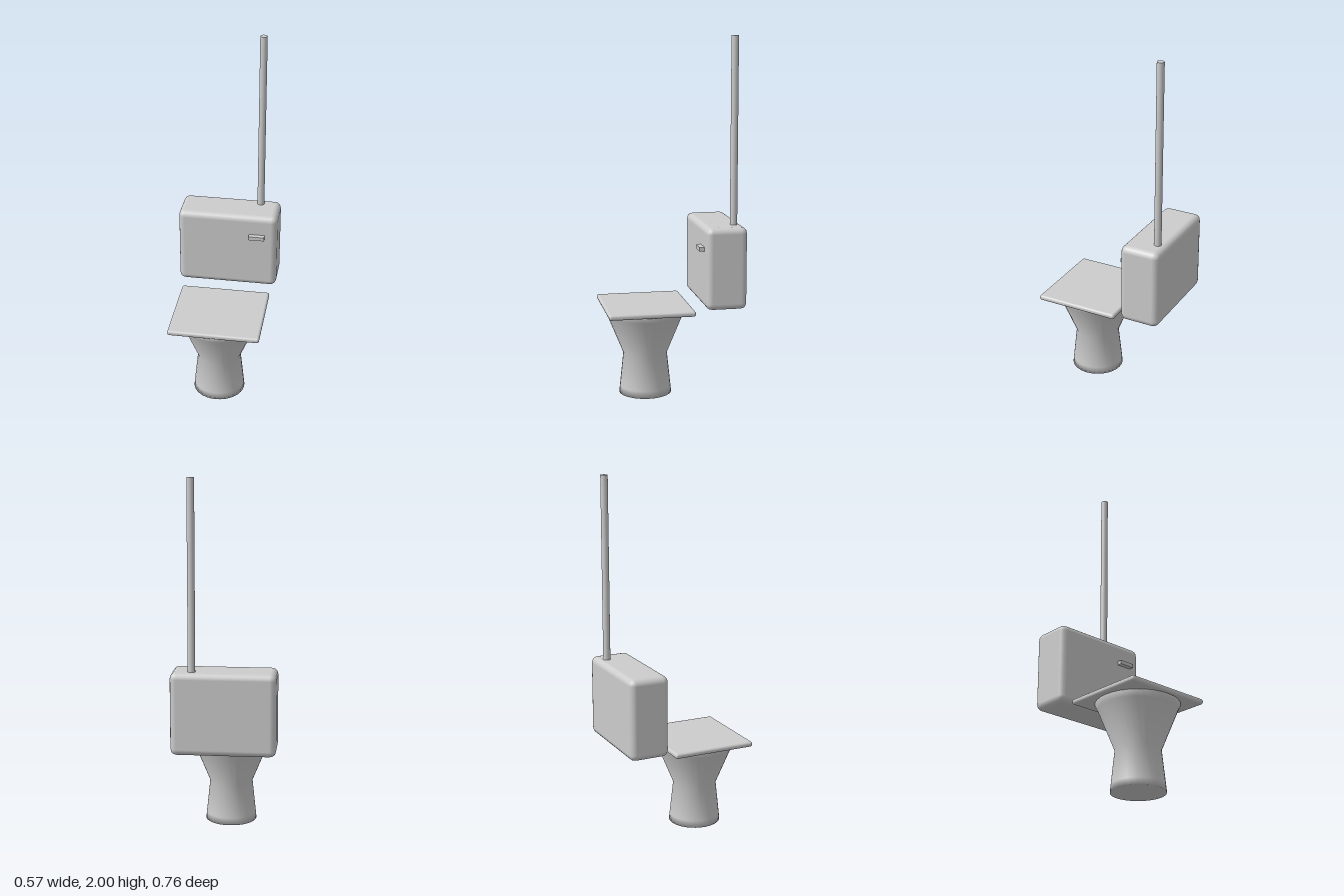
import * as THREE from 'three';
import { RoundedBoxGeometry } from 'three/addons/geometries/RoundedBoxGeometry.js';

export function createModel() {
  const model = new THREE.Group();
  model.name = 'toilet';
  const ceramic = new THREE.MeshStandardMaterial({ color: 0xcccccc });
  ceramic.name = 'grey ceramic';

  const add = (name, geometry, x, y, z) => {
    const mesh = new THREE.Mesh(geometry, ceramic);
    mesh.name = name;
    mesh.position.set(x, y, z);
    model.add(mesh);
    return mesh;
  };

  // Waisted pedestal flaring up into the bowl, closed at both ends
  const profile = [
    [0, 0], [0.147, 0], [0.143, 0.04], [0.123, 0.23], [0.213, 0.45],
    [0.228, 0.482], [0.215, 0.49], [0, 0.49],
  ].map(([r, y]) => new THREE.Vector2(r, y));
  add('pedestal', new THREE.LatheGeometry(profile, 32), 0, 0, 0.14);

  // Flat square seat lid with softened edges
  add('seatLid', new RoundedBoxGeometry(0.514, 0.03, 0.478, 2, 0.013), 0, 0.5, 0.139);

  // Cistern floating behind the bowl
  add('cistern', new RoundedBoxGeometry(0.57, 0.455, 0.227, 2, 0.035), 0, 0.747, -0.2665);

  // Flush lever on the cistern front
  add('flushLever', new THREE.BoxGeometry(0.09, 0.022, 0.038), 0.17, 0.851, -0.144);

  // Tall supply pipe rising from the cistern top
  add('supplyPipe', new THREE.CylinderGeometry(0.02, 0.02, 1.04, 32), 0.17, 1.48, -0.325);

  return model;
}
